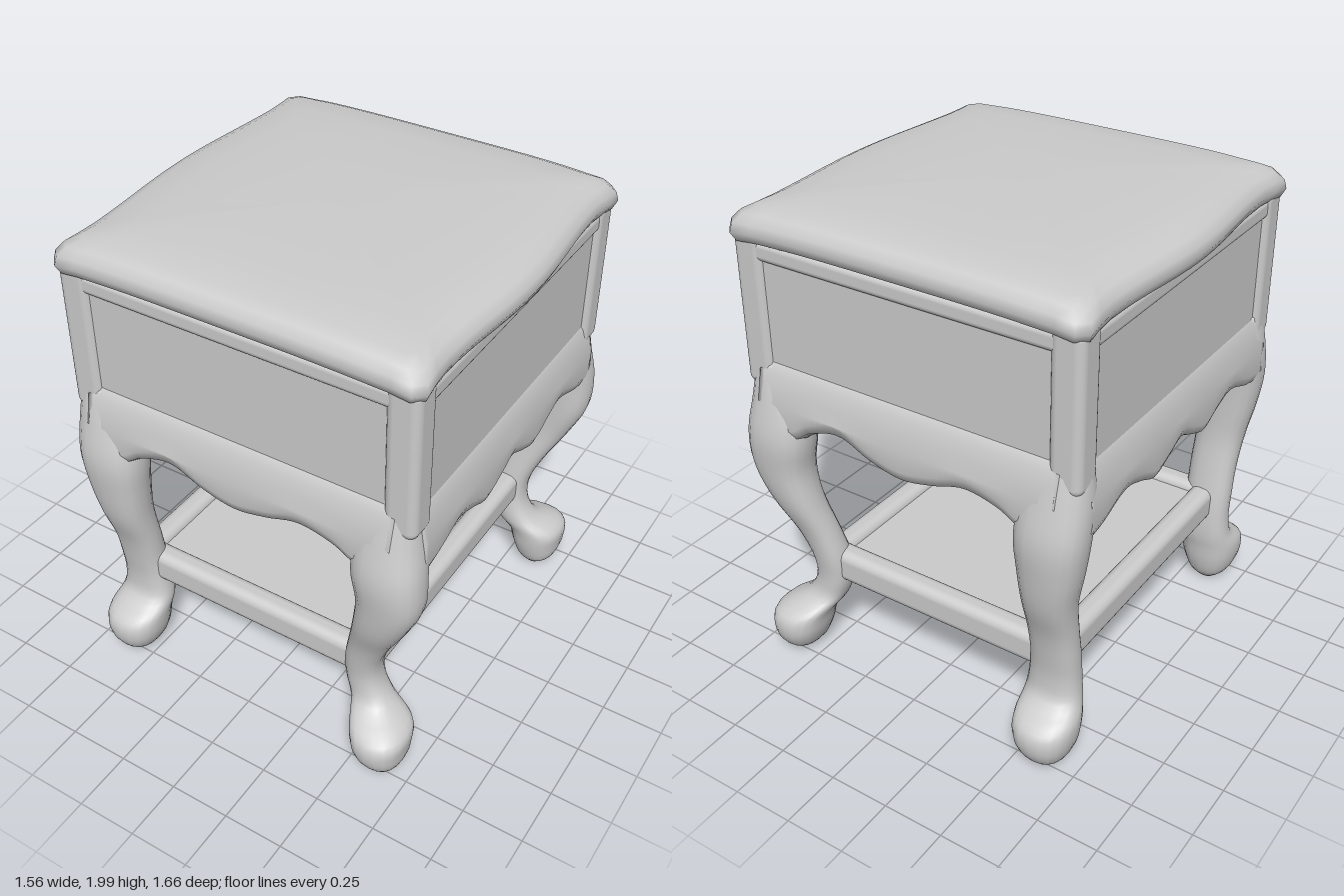
import * as THREE from 'three';
import { RoundedBoxGeometry } from 'three/addons/geometries/RoundedBoxGeometry.js';

const V = (x, y, z) => new THREE.Vector3(x, y, z);

// Skin a list of equal-length closed rings and close both ends
function loft(rings) {
  const n = rings[0].length, pos = [], idx = [];
  for (const r of rings) for (const p of r) pos.push(p.x, p.y, p.z);
  for (let i = 0; i < rings.length - 1; i++) {
    for (let j = 0; j < n; j++) {
      const k = (j + 1) % n, a = i * n + j, b = i * n + k, c = a + n, d = b + n;
      idx.push(a, c, b, b, c, d);
    }
  }
  [0, rings.length - 1].forEach((row, end) => {
    const c = V(0, 0, 0);
    rings[row].forEach((p) => c.addScaledVector(p, 1 / n));
    const m = pos.length / 3;
    pos.push(c.x, c.y, c.z);
    for (let j = 0; j < n; j++) {
      const a = row * n + j, b = row * n + (j + 1) % n;
      if (end) idx.push(m, b, a); else idx.push(m, a, b);
    }
  });
  const g = new THREE.BufferGeometry();
  g.setAttribute('position', new THREE.Float32BufferAttribute(pos, 3));
  g.setIndex(idx);
  g.computeVertexNormals();
  return g;
}

// Leg rows from foot to knee: y, x inner, x outer, z inner, z outer
const CURVED_LEG = [
  [0.01, 0.57, 0.66, 0.62, 0.75], [0.05, 0.53, 0.70, 0.59, 0.80], [0.12, 0.50, 0.715, 0.57, 0.83],
  [0.20, 0.48, 0.71, 0.56, 0.815], [0.27, 0.44, 0.61, 0.55, 0.71], [0.36, 0.41, 0.56, 0.55, 0.69],
  [0.47, 0.41, 0.56, 0.56, 0.70], [0.60, 0.44, 0.61, 0.58, 0.725], [0.75, 0.48, 0.69, 0.60, 0.775],
  [0.90, 0.50, 0.755, 0.60, 0.80], [1.05, 0.48, 0.76, 0.59, 0.81], [1.20, 0.49, 0.74, 0.57, 0.78],
  [1.35, 0.56, 0.72, 0.58, 0.74],
];
// The legs on the other side stay nearly straight in x
const STRAIGHT_X = [[0.55, 0.65], [0.51, 0.69], [0.48, 0.715], [0.47, 0.72], [0.47, 0.70], [0.48, 0.69], [0.49, 0.69],
  [0.49, 0.69], [0.49, 0.70], [0.48, 0.73], [0.47, 0.75], [0.49, 0.75], [0.56, 0.73]];

function legGeometry(sx, sz) {
  const rows = CURVED_LEG.map((r, i) => (sx > 0 ? r : [r[0], ...STRAIGHT_X[i], r[3], r[4]]));
  const mid = new THREE.CatmullRomCurve3(rows.map(([y, a, b, c, d]) => V(sx * (a + b) / 2, y, sz * (c + d) / 2)), false, 'catmullrom');
  const size = new THREE.CatmullRomCurve3(rows.map(([, a, b, c, d]) => V((b - a) / 2, 0, (d - c) / 2)), false, 'catmullrom');
  const rings = [];
  for (let i = 0; i <= 48; i++) {
    const c = mid.getPoint(i / 48), s = size.getPoint(i / 48), ring = [];
    for (let j = 0; j < 20; j++) {
      const a = j / 20 * Math.PI * 2, ca = Math.cos(a), sa = Math.sin(a);
      // slightly squared oval section
      ring.push(V(c.x + s.x * Math.sign(ca) * Math.abs(ca) ** 0.85, c.y, c.z + s.z * Math.sign(sa) * Math.abs(sa) ** 0.85));
    }
    rings.push(ring);
  }
  return loft(rings);
}

// Apron with a scalloped lower edge; the face bulges out below the drawer box
function apronGeometry(face, lowerEdge) {
  const edge = new THREE.SplineCurve(lowerEdge.map(([x, y]) => new THREE.Vector2(x, y)));
  const rings = [];
  for (let i = 0; i <= 48; i++) {
    const { x, y } = edge.getPoint(i / 48);
    const section = [[y, -0.05], [y + 0.02, -0.01], [y + 0.06, 0.005], [1.21, 0.005], [1.27, -0.01],
      [1.33, -0.022], [1.37, -0.05], [1.37, -0.12], [1.25, -0.12], [y + 0.03, -0.11]];
    rings.push(section.map(([h, d]) => V(x, h, face + d)));
  }
  return loft(rings);
}

// Top outline: rounded square with bowed sides and small corner ears
function topRing(inset, y) {
  const ring = [], n = 96;
  for (let j = 0; j < n; j++) {
    const a = (j + 0.5) / n * Math.PI * 2, c = Math.cos(a), s = Math.sin(a);
    const k = 1 / (Math.abs(c) ** 14 + Math.abs(s) ** 14) ** (1 / 14);
    const u = c * k, w = s * k;
    const bow = 0.742 + 0.036 * Math.cos(w * Math.PI / 1.5) ** 2 * (Math.abs(w) < 0.75 ? 1 : 0)
      + 0.045 * THREE.MathUtils.smoothstep(Math.abs(w), 0.75, 1);
    const flat = 0.765 + 0.03 * THREE.MathUtils.smoothstep(Math.abs(u), 0.8, 1);
    const x = u * (bow - inset), z = w * (flat - inset);
    ring.push(V(x, y - 0.025 * Math.abs(x / 0.77) ** 4 - 0.015 * Math.abs(z / 0.77) ** 4, z));
  }
  return ring;
}

export function createModel() {
  const model = new THREE.Group();
  const mat = new THREE.MeshStandardMaterial({ color: 0xcccccc });
  const add = (name, geo, x = 0, y = 0, z = 0) => {
    const m = new THREE.Mesh(geo, mat);
    m.name = name;
    m.position.set(x, y, z);
    model.add(m);
    return m;
  };
  const box = (name, w, h, d, r, x, y, z) => add(name, new RoundedBoxGeometry(w, h, d, 3, r), x, y, z);

  // Table top with a rounded moulded edge
  add('tableTop', loft([[0.13, 1.82], [0.06, 1.84], [0.015, 1.87], [0, 1.905], [0.008, 1.94], [0.035, 1.968],
    [0.08, 1.985], [0.2, 1.992], [0.38, 1.997], [0.6, 2]].map(([i, y]) => topRing(i, y))));

  // Drawer box with recessed panels between corner posts
  box('drawerBox', 1.43, 0.66, 1.45, 0.02, 0, 1.53, 0);
  for (const sx of [-1, 1]) for (const sz of [-1, 1]) {
    box('cornerPost', 0.13, 0.62, 0.13, 0.035, sx * 0.672, 1.56, sz * 0.68);
  }
  for (const s of [-1, 1]) {
    box('upperRail', 1.3, 0.08, 0.06, 0.025, 0, 1.81, s * 0.71);
    box('sideUpperRail', 0.06, 0.08, 1.3, 0.025, s * 0.7, 1.81, 0);
  }

  // Scalloped aprons on all four sides
  const frontEdge = [[-0.66, 1.04], [-0.52, 1.05], [-0.42, 1.11], [-0.28, 1.145], [-0.14, 1.09], [0, 1.06],
    [0.14, 1.085], [0.28, 1.125], [0.42, 1.1], [0.52, 1.05], [0.66, 1.04]];
  const sideEdge = [[-0.68, 1.03], [-0.57, 1.05], [-0.42, 1.1], [-0.3, 1.07], [-0.2, 1.03], [-0.1, 1.06], [0, 1.1],
    [0.1, 1.06], [0.2, 1.03], [0.3, 1.07], [0.42, 1.1], [0.57, 1.05], [0.68, 1.03]];
  add('frontApron', apronGeometry(0.77, frontEdge));
  add('backApron', apronGeometry(0.77, frontEdge)).rotation.y = Math.PI;
  add('leftApron', apronGeometry(0.745, sideEdge)).rotation.y = Math.PI / 2;
  add('rightApron', apronGeometry(0.745, sideEdge)).rotation.y = -Math.PI / 2;

  // Curved legs with ball feet
  for (const sx of [-1, 1]) for (const sz of [-1, 1]) {
    add((sz > 0 ? 'front' : 'back') + (sx > 0 ? 'Left' : 'Right') + 'Leg', legGeometry(sx, sz));
  }

  // Lower shelf framed by rounded rails
  box('shelf', 1.05, 0.09, 1.2, 0.02, -0.05, 0.43, 0);
  for (const s of [-1, 1]) {
    box('shelfRail', 1.06, 0.145, 0.1, 0.04, -0.05, 0.437, s * 0.61);
    box('shelfSideRail', 0.1, 0.145, 1.22, 0.04, -0.05 + s * 0.53, 0.437, 0);
  }
  return model;
}
